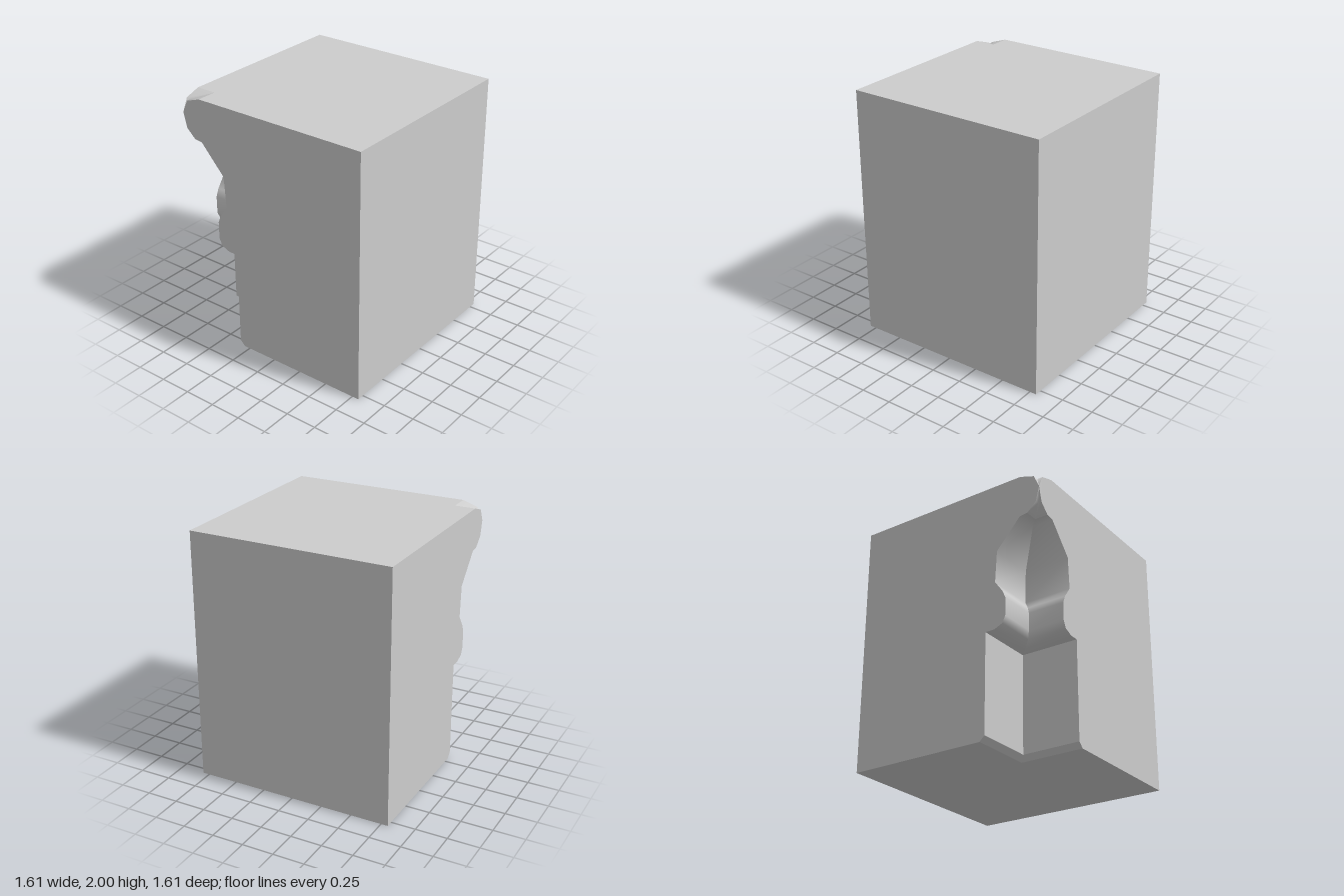
import * as THREE from 'three';

const H = 0.805; // half width of the block

// Moulding profile [inner edge x, height], top to bottom; each run is smooth, runs meet at sharp edges
const runs = [
  [[-0.64, 2], [-0.76, 1.96], [-H, 1.86], [-0.775, 1.74], [-0.7, 1.67]],
  [[-0.7, 1.67], [-0.635, 1.662], [-0.435, 1.44], [-0.42, 1.19], [-0.485, 1.1], [-0.51, 1.04],
    [-0.51, 0.9], [-0.485, 0.845], [-0.415, 0.815], [-0.34, 0.815]],
  [[-0.34, 0.815], [-0.34, 0.04]],
  [[-0.34, 0.04], [-0.3, 0]],
];

// Strip between two points per row, rows running downwards
function strip(rows) {
  const pos = [], idx = [];
  rows.forEach(([l, r], i) => {
    pos.push(...l, ...r);
    const a = i * 2;
    if (i < rows.length - 1) idx.push(a, a + 2, a + 1, a + 1, a + 2, a + 3);
  });
  const g = new THREE.BufferGeometry();
  g.setAttribute('position', new THREE.Float32BufferAttribute(pos, 3));
  g.setIndex(idx);
  g.computeVertexNormals();
  return g;
}

const flat = (pts) => new THREE.ShapeGeometry(new THREE.Shape(pts.map(([x, y]) => new THREE.Vector2(x, y))));

// Square with the corner at (-x, -s*y) notched out to x = p
const notched = (p, s) => flat([[H, -H], [H, H], [-H, H], [-H, p], [p, p], [p, -H]].map(([x, y]) => [x, s * y]));

export function createModel() {
  const group = new THREE.Group();
  const stone = new THREE.MeshStandardMaterial({ color: 0xcccccc });
  stone.name = 'light grey';
  const add = (name, geometry) => {
    const mesh = new THREE.Mesh(geometry, stone);
    mesh.name = name;
    group.add(mesh);
  };

  // Plain back and left sides
  add('backFace', new THREE.PlaneGeometry(2 * H, 2).rotateY(Math.PI).translate(0, 1, -H));
  add('leftFace', new THREE.PlaneGeometry(2 * H, 2).rotateY(Math.PI / 2).translate(H, 1, 0));

  // Front and right sides, cut along the moulding profile
  const profile = runs.flatMap((run, i) => (i ? run.slice(1) : run));
  const outline = [[H, 2], ...profile, [H, 0]];
  add('frontFace', flat(outline).translate(0, 0, H));
  add('rightFace', flat(outline.map(([x, y]) => [-x, y])).translate(0, 0, H).rotateY(-Math.PI / 2));

  // Top and bottom with the notched corner
  add('topFace', notched(runs[0][0][0], 1).rotateX(-Math.PI / 2).translate(0, 2, 0));
  add('bottomFace', notched(runs[3][1][0], -1).rotateX(Math.PI / 2));

  // Moulded walls of the inner corner, mitred where they meet
  for (const run of runs) {
    add('frontMoulding', strip(run.map(([p, y]) => [[-H, y, -p], [p, y, -p]])));
    add('sideMoulding', strip(run.map(([p, y]) => [[p, y, -p], [p, y, H]])));
  }
  return group;
}
